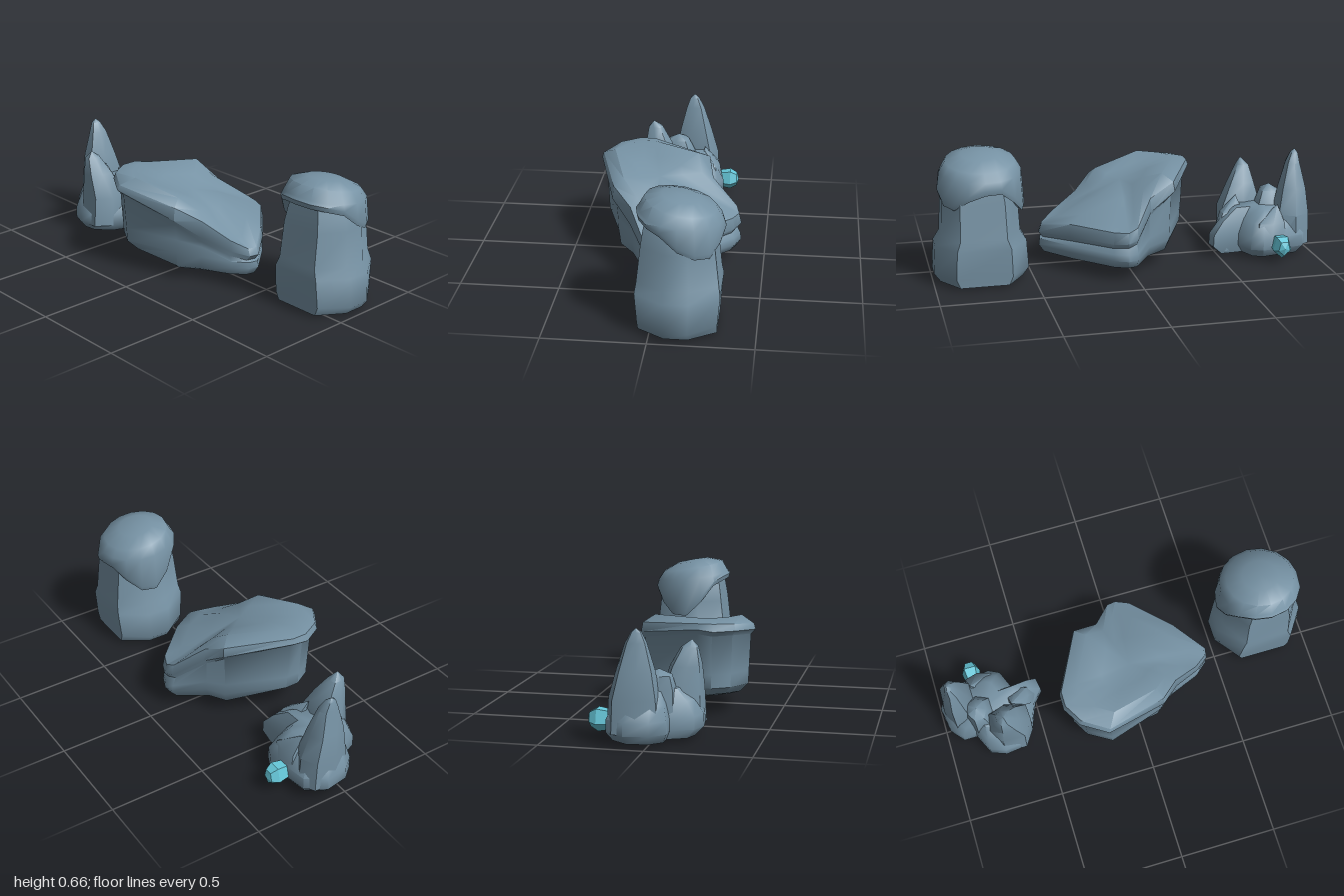
import * as THREE from 'three';
import { toCreasedNormals } from 'three/addons/utils/BufferGeometryUtils.js';

const stone = new THREE.MeshStandardMaterial({ color: 0x7692a4 });
stone.name = 'blue grey stone';
const teal = new THREE.MeshStandardMaterial({ color: 0x66c8da });
teal.name = 'teal crystal';

// Skin closed rings, listed bottom to top, and close both ends with a centre point
function loft(name, rings, bottom, top, crease = 0.9) {
  const n = rings[0].length;
  const points = [...rings.flat(), bottom, top];
  const index = [];
  const lowest = points.length - 2, highest = points.length - 1, last = (rings.length - 1) * n;
  for (let j = 0; j < n; j++) {
    const k = (j + 1) % n;
    index.push(lowest, j, k, highest, last + k, last + j);
    for (let i = 0; i < rings.length - 1; i++) {
      const a = i * n + j, b = i * n + k;
      index.push(a, a + n, b, b, a + n, b + n);
    }
  }
  const geometry = new THREE.BufferGeometry();
  geometry.setAttribute('position', new THREE.Float32BufferAttribute(points.flat(), 3));
  geometry.setIndex(index);
  const mesh = new THREE.Mesh(toCreasedNormals(geometry, crease), stone);
  mesh.name = name;
  return mesh;
}

// Outline of [x, z] points scaled about a centre at height y
const ring = (outline, [cx, cz], y, sx, sz = sx) =>
  outline.map(([x, z]) => [cx + (x - cx) * sx, y, cz + (z - cz) * sz]);

function capPillar() {
  const group = new THREE.Group();
  group.name = 'pillarRock';
  const c = [0.13, 0.76];
  const octagon = [[0.33, 0.62], [0.33, 0.9], [0.19, 1], [0.07, 1],
    [-0.07, 0.9], [-0.07, 0.62], [0.07, 0.52], [0.19, 0.52]];
  const steps = [[0.012, 0.93, 0.86], [0.055, 0.94, 0.99], [0.2, 1, 0.95],
    [0.25, 0.96, 0.82], [0.43, 0.86, 0.78], [0.5, 0.81, 0.7], [0.57, 0.75, 0.6]];
  group.add(loft('pillarColumn', steps.map(([y, sx, sz]) => ring(octagon, c, y, sx, sz)),
    [0.13, 0.015, 0.76], [0.13, 0.58, 0.76]));

  // Draped cap: hem height every 22.5 degrees, from +x towards +z
  const hem = [0.48, 0.45, 0.4, 0.41, 0.45, 0.515, 0.535, 0.545,
    0.55, 0.545, 0.52, 0.43, 0.355, 0.36, 0.42, 0.48];
  const around = (radius, height) => hem.map((h, i) => {
    const a = i * Math.PI / 8, x = Math.cos(a) * radius;
    return [0.135 + x, height(h, x), 0.748 + Math.sin(a) * radius * 1.03];
  });
  group.add(loft('pillarCap', [
    around(0.16, (h) => h + 0.03),
    around(0.203, (h) => h),
    around(0.21, (h) => h + 0.025),
    around(0.198, (h, x) => Math.max(h + 0.04, 0.56 - 0.1 * x)),
    around(0.168, (h, x) => 0.612 - 0.18 * x),
    around(0.09, (h, x) => 0.642 - 0.17 * x),
  ], [0.135, 0.5, 0.745], [0.13, 0.65, 0.745]));
  return group;
}

function slantedSlab() {
  // x, z, rim height, underside height
  const rim = [
    [-0.38, -0.2, 0.46, 0.41], [-0.3, -0.33, 0.475, 0.42], [-0.2, -0.388, 0.48, 0.42],
    [-0.12, -0.388, 0.48, 0.43], [0.2, -0.23, 0.45, 0.38], [0.23, -0.1, 0.38, 0.29],
    [0.365, 0, 0.27, 0.19], [0.38, 0.05, 0.25, 0.175], [0.35, 0.12, 0.25, 0.17],
    [0.16, 0.31, 0.25, 0.165], [0, 0.44, 0.21, 0.15], [-0.05, 0.43, 0.21, 0.15],
    [-0.11, 0.36, 0.25, 0.17], [-0.18, 0.22, 0.33, 0.22], [-0.28, 0.12, 0.4, 0.31]];
  // lip is 1 on the protruding lower front; keel is 0 only where the back is undercut
  const layer = (scale, height) => rim.map(([x, z, top, under]) => {
    const lip = THREE.MathUtils.clamp((x + z + 0.1) / 0.35, 0, 1);
    const keel = THREE.MathUtils.clamp((x * 0.5 + z + 0.45) / 0.5, 0, 1);
    const s = scale(lip, keel);
    return [-0.05 + (x + 0.05) * s, height(top, under, lip, keel), z * s];
  });
  return loft('slabRock', [
    layer((f, k) => 0.52 + 0.28 * k, (t, u, f, k) => 0.08 - 0.03 * k),
    layer((f, k) => 0.72 + 0.14 * k + 0.08 * f, (t, u, f, k) => 0.105 - 0.04 * k),
    layer((f) => 0.88 + 0.12 * f, (t, u, f) => 0.15 - 0.045 * f),
    layer((f) => 0.89 + 0.1 * f, (t, u, f) => 0.22 - 0.082 * f),
    layer((f) => 0.92 + 0.03 * f, (t, u) => u - 0.005),
    layer(() => 1, (t, u) => u + 0.022),
    layer(() => 0.97, (t) => t),
    layer(() => 0.76, (t) => Math.min(t + 0.035, 0.495)),
    layer(() => 0.4, (t) => 0.25 + t * 0.43),
  ], [0, 0.05, 0], [-0.05, 0.415, 0], 0.9);
}

function spikedRock() {
  const group = new THREE.Group();
  group.name = 'spikedRock';
  const outline = [[0.2, -0.93], [0.22, -0.8], [0.24, -0.7], [0.21, -0.64], [0.11, -0.6],
    [0.12, -0.46], [0.06, -0.45], [0, -0.5], [-0.13, -0.55], [-0.22, -0.64], [-0.23, -0.72],
    [-0.2, -0.8], [-0.09, -0.85], [-0.09, -0.92], [-0.02, -0.98], [0.1, -1]];
  const c = [0.03, -0.76], upper = [0, -0.78];
  group.add(loft('spikedBase', [
    ring(outline, c, 0.015, 0.82), ring(outline, c, 0.06, 0.98), ring(outline, c, 0.12, 0.97),
    ring(outline, upper, 0.19, 0.8), ring(outline, upper, 0.25, 0.55),
  ], [0.03, 0, -0.74], [0, 0.25, -0.76]));

  // Each spike is a stack of uneven seven-sided sections: x, y, z, radius x, radius z
  const spike = (name, sections, tip) => {
    const rings = sections.map(([x, y, z, rx, rz]) => Array.from({ length: 7 }, (_, i) => {
      const a = i * Math.PI * 2 / 7, w = 1 + 0.1 * Math.sin(i * 2.3);
      return [x + Math.cos(a) * rx * w, y, z + Math.sin(a) * rz * w];
    }));
    const [x, y, z] = sections[0];
    group.add(loft(name, rings, [x, y, z], tip));
  };
  spike('tallSpike', [[0.07, 0.06, -0.89, 0.13, 0.095], [0.07, 0.22, -0.89, 0.12, 0.095],
    [0.06, 0.35, -0.9, 0.09, 0.073], [0.055, 0.48, -0.905, 0.05, 0.037],
    [0.05, 0.53, -0.915, 0.025, 0.02]], [0.05, 0.55, -0.92]);
  spike('sideSpike', [[-0.11, 0.06, -0.67, 0.11, 0.13], [-0.11, 0.22, -0.665, 0.1, 0.125],
    [-0.13, 0.34, -0.68, 0.075, 0.075], [-0.15, 0.43, -0.695, 0.04, 0.035]],
  [-0.16, 0.465, -0.69]);
  spike('frontLobe', [[0.05, 0.03, -0.54, 0.06, 0.06], [0.045, 0.13, -0.55, 0.06, 0.065],
    [0.01, 0.22, -0.59, 0.055, 0.065]], [-0.04, 0.29, -0.63]);
  spike('valleyCrest', [[0, 0.12, -0.79, 0.11, 0.1], [-0.02, 0.25, -0.8, 0.085, 0.075],
    [-0.03, 0.315, -0.81, 0.06, 0.055]], [-0.03, 0.345, -0.81]);
  spike('sideShoulder', [[0.16, 0.08, -0.75, 0.07, 0.1], [0.15, 0.19, -0.76, 0.06, 0.08]],
    [0.12, 0.27, -0.81]);
  return group;
}

function crystal() {
  // Five-sided gem pointing out of the rock along x
  const profile = [[0, -0.07], [0.05, -0.055], [0.06, 0], [0.038, 0.036], [0, 0.048]]
    .map(([r, y]) => new THREE.Vector2(r, y));
  const geometry = toCreasedNormals(new THREE.LatheGeometry(profile, 5).toNonIndexed(), 0.4);
  geometry.rotateZ(-Math.PI / 2);
  geometry.rotateX(Math.PI / 2);
  const mesh = new THREE.Mesh(geometry, teal);
  mesh.name = 'crystal';
  mesh.position.set(0.27, 0.088, -0.79);
  mesh.scale.set(1, 1.05, 0.85);
  return mesh;
}

export function createModel() {
  const model = new THREE.Group();
  model.name = 'rockSet';
  model.add(capPillar(), slantedSlab(), spikedRock(), crystal());
  return model;
}
